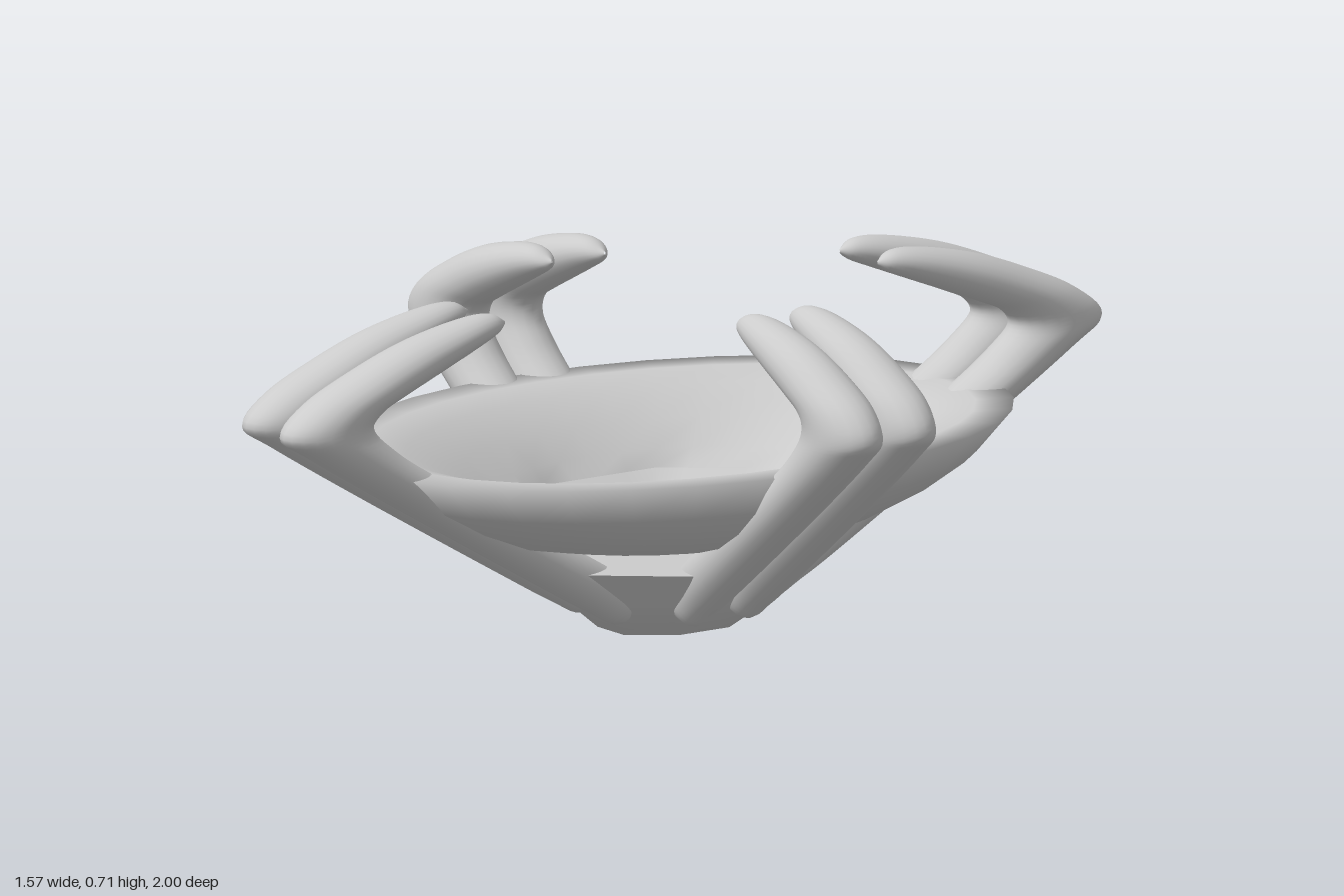
import * as THREE from 'three';

const material = new THREE.MeshStandardMaterial({ color: 0xcccccc });

// Skin a series of closed loops of points; a repeated loop makes a sharp edge
function loft(name, rings) {
  const n = rings[0].length;
  const index = [];
  for (let j = 0; j < rings.length - 1; j++) {
    for (let i = 0; i < n; i++) {
      const k = (i + 1) % n;
      const a = j * n + i, b = j * n + k, c = a + n, d = b + n;
      index.push(a, c, b, b, c, d);
    }
  }
  const geometry = new THREE.BufferGeometry().setFromPoints(rings.flat());
  geometry.setIndex(index);
  geometry.computeVertexNormals();
  const mesh = new THREE.Mesh(geometry, material);
  mesh.name = name;
  return mesh;
}

// Loop of given half-sizes at height y: an oval, or a stretched octagon
function loop([rx, rz, y, octagon]) {
  const sides = 32, eighth = Math.PI / 4;
  return Array.from({ length: sides }, (_, i) => {
    const t = (i / sides) * Math.PI * 2;
    const s = octagon ? 1 / Math.cos(t - Math.round(t / eighth) * eighth) : 1;
    return new THREE.Vector3(s * rx * Math.cos(t), y, s * rz * Math.sin(t));
  });
}

// Claw sections: inner reach, inner height, outer reach, outer height, half width
const clawSections = [
  [0.1, 0.08, 0.101, 0.079, 0.002],
  [0.115, 0.125, 0.165, 0.03, 0.042],
  [0.16, 0.165, 0.225, 0.063, 0.052],
  [0.25, 0.233, 0.315, 0.13, 0.061],
  [0.48, 0.405, 0.56, 0.32, 0.065],
  [0.55, 0.472, 0.735, 0.462, 0.066],
  [0.572, 0.515, 0.785, 0.515, 0.066],
  [0.562, 0.548, 0.75, 0.575, 0.066],
  [0.52, 0.573, 0.66, 0.63, 0.064],
  [0.456, 0.605, 0.56, 0.675, 0.058],
  [0.38, 0.643, 0.45, 0.703, 0.045],
  [0.338, 0.665, 0.375, 0.708, 0.027],
  [0.322, 0.682, 0.325, 0.688, 0.002],
];

// One claw reaching along +x; the long version bends further out
function makeClaw(long) {
  const reach = (r, y) =>
    long ? r + (y < 0.52 ? (0.215 * y) / 0.52 : 0.215 - 0.5 * (y - 0.52)) : r;
  const curve = (f) => new THREE.CatmullRomCurve3(clawSections.map(f), false, 'catmullrom', 0.5);
  const inner = curve(([r, y]) => new THREE.Vector3(reach(r, y), y, 0));
  const outer = curve(([, , r, y, w]) => new THREE.Vector3(reach(r, y), y, w));
  const steps = 60, sides = 20;
  const rings = [];
  for (let j = 0; j <= steps; j++) {
    const a = inner.getPoint(j / steps), b = outer.getPoint(j / steps);
    const w = Math.max(b.z, 0.001);
    b.z = 0;
    const centre = a.clone().add(b).multiplyScalar(0.5);
    const axis = b.sub(a).multiplyScalar(0.5);
    rings.push(Array.from({ length: sides }, (_, i) => {
      const t = (i / sides) * Math.PI * 2;
      const p = centre.clone().addScaledVector(axis, Math.cos(t));
      p.z = w * Math.sin(t);
      return p;
    }));
  }
  return loft('claw', rings);
}

export function createModel() {
  const model = new THREE.Group();

  // Thick oval bowl: outer wall, flat rim, inner wall, eight-sided hole, underside
  const bowlProfile = [
    [0.28, 0.365, 0.205], [0.355, 0.475, 0.228], [0.42, 0.575, 0.27],
    [0.48, 0.67, 0.325], [0.532, 0.75, 0.405],
    [0.46, 0.67, 0.405], [0.4, 0.59, 0.385], [0.335, 0.485, 0.335],
    [0.285, 0.395, 0.285], [0.25, 0.33, 0.25, true], [0.25, 0.33, 0.25, true],
    [0.17, 0.245, 0.205, true], [0.17, 0.245, 0.205, true], [0.28, 0.365, 0.205],
  ];
  model.add(loft('bowl', bowlProfile.map(loop)));

  // Solid eight-sided base, flat on top
  const baseProfile = [
    [0, 0, 0], [0.11, 0.15, 0, true], [0.185, 0.235, 0.078, true],
    [0.25, 0.315, 0.155, true], [0.25, 0.315, 0.155, true], [0, 0, 0.155],
  ];
  model.add(loft('base', baseProfile.map(loop)));

  // A pair of claws on each of the four sides
  ['leftClaws', 'backClaws', 'rightClaws', 'frontClaws'].forEach((name, i) => {
    const pair = new THREE.Group();
    pair.name = name;
    for (const side of [-1, 1]) {
      const claw = makeClaw(i % 2 === 1);
      claw.position.z = side * 0.065;
      pair.add(claw);
    }
    pair.rotation.y = (i * Math.PI) / 2;
    model.add(pair);
  });

  return model;
}
